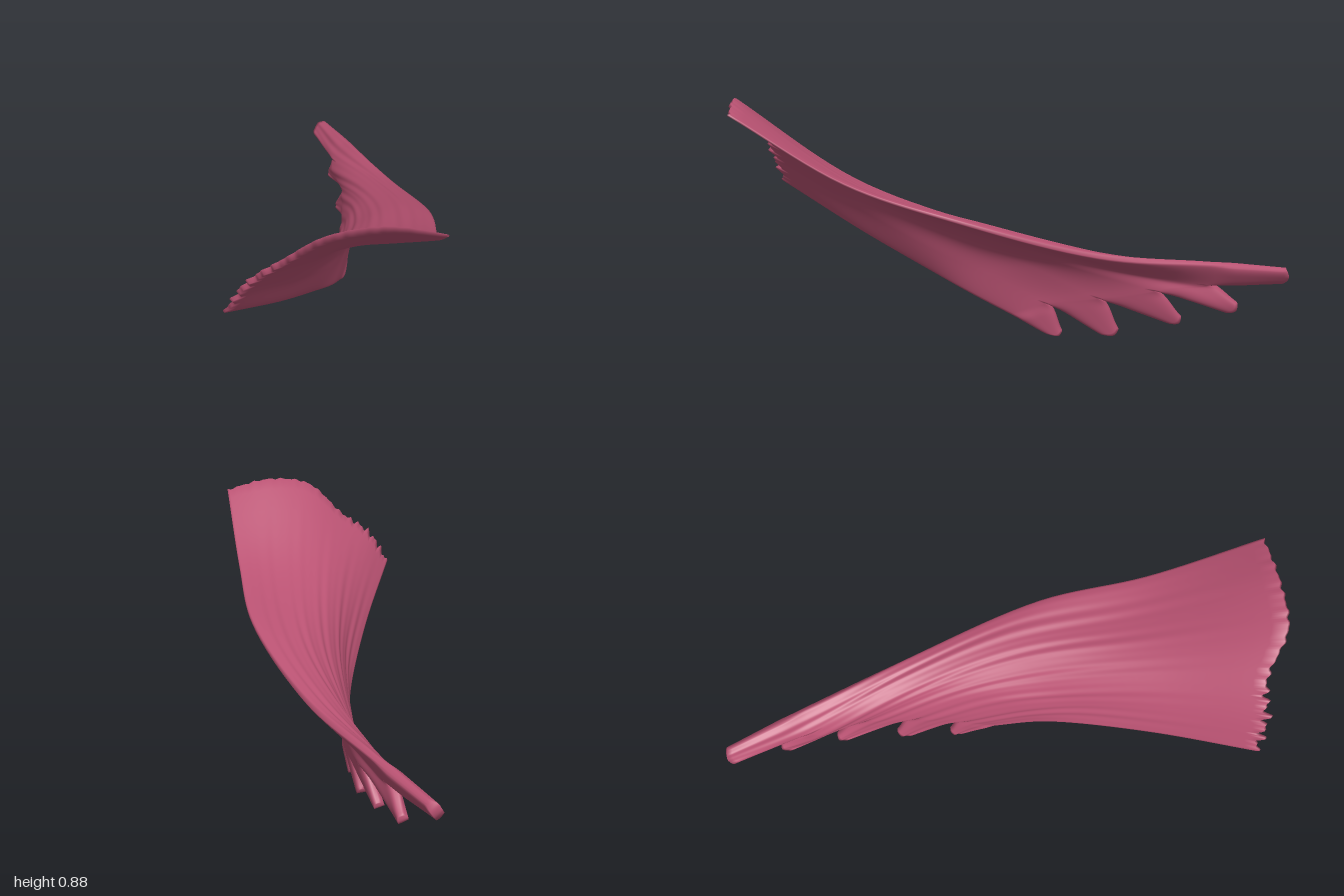
import * as THREE from 'three';
import { mergeVertices } from 'three/addons/utils/BufferGeometryUtils.js';

const V = (p) => new THREE.Vector3(...p);
const { smoothstep, lerp } = THREE.MathUtils;

// Fibre lines from the notches between the fingers to the wide frayed end
const RAILS = [
  [[-.02, .095, .03], [-.042, .165, .17], [-.085, .235, .31], [-.19, .372, .59], [-.33, .535, .9]],
  [[-.003, .145, -.1], [-.015, .255, .12], [-.047, .34, .32], [-.14, .485, .62], [-.255, .655, .925]],
  [[.012, .17, -.29], [.03, .292, -.05], [.015, .388, .22], [-.05, .56, .6], [-.14, .74, .93]],
  [[.005, .195, -.49], [.065, .308, -.18], [.095, .425, .15], [.06, .592, .58], [-.01, .857, .995]],
  [[-.04, .215, -.68], [.092, .317, -.3], [.178, .435, .08], [.185, .588, .55], [.15, .883, .985]],
  [[.015, .292, -.69], [.175, .348, -.28], [.306, .49, .2], [.319, .618, .58], [.33, .85, .96]],
].map((r) => new THREE.CatmullRomCurve3(r.map(V)));

// Lower and upper corner of each finger tip
const TIPS = [
  [[-.015, .018, -.105], [-.015, .025, -.165]],
  [[-.012, .018, -.305], [-.01, .035, -.37]],
  [[-.03, .06, -.55], [-.025, .08, -.6]],
  [[-.07, .092, -.765], [-.06, .125, -.81]],
  [[-.147, .187, -.975], [-.108, .246, -.995]],
].map((t) => t.map(V));

const STRIPS = TIPS.length, COLS = 24, FINGER_ROWS = 16, SHEET_ROWS = 36;

// Curved sheet: u runs to the wide end, v from lower to upper edge
function sheet(u, v) {
  return new THREE.CatmullRomCurve3(RAILS.map((r) => r.getPoint(u))).getPoint(v);
}

// Finger: leaves the sheet smoothly and bends to its tip
function finger(i, s, w) {
  const v = (i + w) / STRIPS;
  const p0 = sheet(0, v);
  const tip = TIPS[i][0].clone().lerp(TIPS[i][1], w);
  const m1 = tip.clone().sub(p0);
  tip.addScaledVector(m1.clone().normalize(), 0.018 * (Math.sin(Math.PI * w) - 0.5));
  const m0 = p0.clone().sub(sheet(0.03, v)).setLength(m1.length());
  const s2 = s * s, s3 = s2 * s;
  return p0.multiplyScalar(2 * s3 - 3 * s2 + 1)
    .addScaledVector(m0, s3 - 2 * s2 + s)
    .addScaledVector(tip, 3 * s2 - 2 * s3)
    .addScaledVector(m1, s3 - s2);
}

const surface = (i, t, w) => (t < 0 ? finger(i, -t, w) : sheet(t, (i + w) / STRIPS));

function normalAt(i, t, w) {
  const e = 0.01;
  const t0 = t >= 0 ? Math.max(0, t - e) : Math.max(-1, t - e);
  const t1 = Math.min(1, t + e);
  let dv;
  if (t >= 0) {
    const v = (i + w) / STRIPS;
    dv = sheet(t, Math.min(1, v + e)).sub(sheet(t, Math.max(0, v - e)));
  } else {
    dv = surface(i, t, Math.min(1, w + e)).sub(surface(i, t, Math.max(0, w - e)));
  }
  return surface(i, t1, w).sub(surface(i, t0, w)).cross(dv).normalize();
}

// Outer and inner point of the slab
function slab(i, t, w) {
  const v = (i + w) / STRIPS;
  const p = surface(i, t, w), n = normalAt(i, t, w);
  // Lens-shaped section: thin along the edges, full in the middle
  const lens = (x, power) => lerp(0.3, 1, Math.sqrt(Math.max(0, 1 - Math.abs(2 * x - 1) ** power)));
  let h = t < 0 ? lerp(0.026, 0.018, -t) : lerp(0.026, 0.009, smoothstep(t, 0, 0.9));
  h *= lerp(lens(v, 3), lens(w, 3), smoothstep(-t, 0, 0.35));
  // Frayed wide end, with deeper teeth at the lower corner
  if (t > 0.9) {
    const fray = Math.sin(v * 95) + 0.8 * Math.sin(v * 151 + 1);
    const amp = lerp(0.013, 0.003, smoothstep(v, 0.2, 0.5));
    const dir = sheet(1, v).sub(sheet(0.95, v)).normalize();
    p.addScaledVector(dir, fray * amp * smoothstep(t, 0.9, 1));
  }
  // Shallow fibre ridges on the outer side
  const ridge = 0.0014 * (Math.sin(v * 62) + 0.6 * Math.sin(v * 97 + t * 3)) * (1 - smoothstep(t, 0.5, 1));
  return [p.clone().addScaledVector(n, h + ridge), p.addScaledVector(n, -h)];
}

function muscleGeometry() {
  const pos = [], idx = [];
  const rows = FINGER_ROWS + SHEET_ROWS;
  const quad = (a, b, c, d, flip) => (flip
    ? idx.push(a, c, b, b, c, d)
    : idx.push(a, b, c, b, d, c));
  for (let i = 0; i < STRIPS; i++) {
    const base = pos.length / 3;
    const at = (r, c, side) => base + (r * (COLS + 1) + c) * 2 + side;
    for (let r = 0; r <= rows; r++) {
      const t = r < FINGER_ROWS ? r / FINGER_ROWS - 1 : (r - FINGER_ROWS) / SHEET_ROWS;
      for (let c = 0; c <= COLS; c++) {
        for (const p of slab(i, t, c / COLS)) pos.push(p.x, p.y, p.z);
      }
    }
    // Outer and inner faces
    for (let r = 0; r < rows; r++) {
      for (let c = 0; c < COLS; c++) {
        for (const side of [0, 1]) {
          quad(at(r, c, side), at(r + 1, c, side), at(r, c + 1, side), at(r + 1, c + 1, side), side === 1);
        }
      }
      // Side walls of the fingers and of the sheet's two long edges
      for (const c of [0, COLS]) {
        const outerEdge = (i === 0 && c === 0) || (i === STRIPS - 1 && c === COLS);
        if (r < FINGER_ROWS || outerEdge) {
          quad(at(r, c, 0), at(r + 1, c, 0), at(r, c, 1), at(r + 1, c, 1), c === 0);
        }
      }
    }
    // End walls at the finger tip and the frayed end
    for (let c = 0; c < COLS; c++) {
      for (const r of [0, rows]) {
        quad(at(r, c, 0), at(r, c + 1, 0), at(r, c, 1), at(r, c + 1, 1), r === rows);
      }
    }
  }
  let g = new THREE.BufferGeometry();
  g.setAttribute('position', new THREE.Float32BufferAttribute(pos, 3));
  g.setIndex(idx);
  g = mergeVertices(g, 1e-4);
  g.computeVertexNormals();
  g.computeBoundingBox();
  g.translate(0, -g.boundingBox.min.y, 0);
  return g;
}

export function createModel() {
  const group = new THREE.Group();
  group.name = 'fanMuscle';
  const flesh = new THREE.MeshStandardMaterial({ color: 0xb95272 });
  flesh.name = 'muscle rose';
  const mesh = new THREE.Mesh(muscleGeometry(), flesh);
  mesh.name = 'muscleSheetWithFingers';
  group.add(mesh);
  return group;
}
